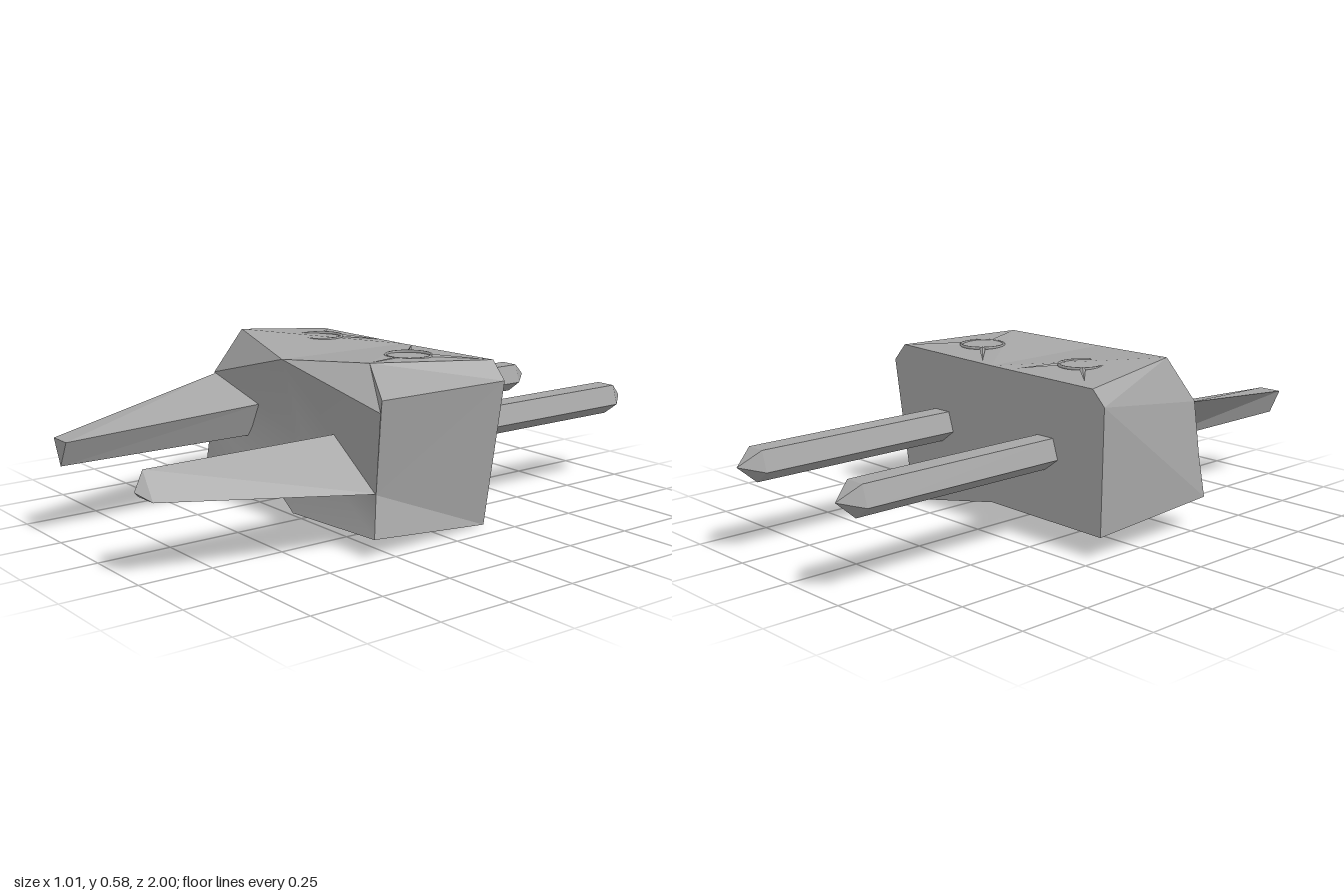
import * as THREE from 'three';
import { mergeVertices } from 'three/addons/utils/BufferGeometryUtils.js';

const grey = new THREE.MeshStandardMaterial({ color: 0xa6a6a6 });
grey.name = 'grey';

// Polygons (fans of points) turned outward from a centre point
function facets(polygons, centre) {
  const pos = [], c = new THREE.Vector3(...centre);
  for (const poly of polygons) {
    for (let i = 1; i < poly.length - 1; i++) {
      const t = [poly[0], poly[i], poly[i + 1]].map((p) => new THREE.Vector3(...p));
      const n = t[1].clone().sub(t[0]).cross(t[2].clone().sub(t[0]));
      if (n.dot(t[0].clone().add(t[1]).add(t[2]).divideScalar(3).sub(c)) < 0) t.reverse();
      t.forEach((p) => pos.push(p.x, p.y, p.z));
    }
  }
  const g = new THREE.BufferGeometry();
  g.setAttribute('position', new THREE.Float32BufferAttribute(pos, 3));
  g.computeVertexNormals();
  return g;
}

function add(parent, name, geometry) {
  const m = new THREE.Mesh(geometry, grey);
  m.name = name;
  parent.add(m);
  return m;
}

// Side walls between two outlines of equal length
const walls = (a, b) => a.map((p, i) => {
  const j = (i + 1) % a.length;
  return [p, a[j], b[j], b[i]];
});

export function createModel() {
  const model = new THREE.Group();
  model.name = 'plugBlock';
  const zb = -0.185;
  const centre = [0, 0.3, 0.05];

  // Back corners of the block
  const bLeft = [0.505, 0.495, zb], bTopL = [0.45, 0.555, zb], bTop = [0, 0.545, zb];
  const bTopR = [-0.46, 0.54, zb], bRight = [-0.51, 0.49, zb], bLowR = [-0.5, 0.075, zb];
  const bLow = [0, 0.08, zb], bLowL = [0.42, 0, zb];
  // Upper ridge corners
  const peakR = [-0.42, 0.58, 0.2], peakL = [0.33, 0.572, 0.22], shoulder = [0.505, 0.495, 0.31];
  // Front rim as columns: top, middle, bottom
  const cols = [
    [[-0.47, 0.43, 0.285], [-0.493, 0.25, 0.288], [-0.51, 0.11, 0.3]],
    [[0, 0.547, 0.32], [0, 0.3, 0.275], [0, 0.082, 0.32]],
    [[0, 0.547, 0.32], [0.06, 0.29, 0.275], [0.06, 0.047, 0.325]],
    [[0.505, 0.457, 0.315], [0.45, 0.19, 0.288], [0.49, 0.065, 0.325]],
  ];
  const [cR, cM, cN, cL] = cols;

  add(model, 'block', facets([
    [bTop, bTopL, bLeft, bLowL, bLow, bLowR, bRight, bTopR],
    [peakR, cM[0], bTop], [peakR, bTop, bTopR],
    [peakL, cM[0], bTop], [peakL, bTop, bTopL],
    [peakR, cR[0], cM[0]], [peakL, cM[0], cL[0]],
    [peakL, cL[0], shoulder], [peakL, shoulder, bLeft, bTopL],
    [peakR, bTopR, bRight], [peakR, bRight, cR[0]],
    [bRight, cR[0], cR[1], cR[2]], [bRight, cR[2], bLowR],
    [cL[1], cL[0], shoulder, bLeft], [cL[1], bLeft, bLowL, cL[2]],
    [bLowR, cR[2], cM[2], bLow], [bLow, cM[2], cN[2]],
    [bLow, cN[2], bLowL], [cN[2], cL[2], bLowL],
  ], centre));

  // Softly hollowed front, smooth shaded
  const bands = [];
  for (let i = 0; i < 3; i++) {
    for (let r = 0; r < 2; r++) {
      const a = cols[i], b = cols[i + 1];
      bands.push(i === 1 && r === 0 ? [a[0], a[1], b[1]] : [a[r], a[r + 1], b[r + 1], b[r]]);
    }
  }
  let front = facets(bands, centre);
  front.deleteAttribute('normal');
  front = mergeVertices(front);
  front.computeVertexNormals();
  add(model, 'frontFace', front);

  // Tapered front prongs, three sided
  const baseR = [[-0.47, 0.43, 0.26], [-0.2, 0.36, 0.26], [-0.255, 0.2425, 0.26]];
  const tipR = [[-0.295, 0.33, 0.985], [-0.21, 0.33, 0.985], [-0.255, 0.245, 0.985]];
  add(model, 'frontProngRight', facets([...walls(baseR, tipR), tipR, baseR], [-0.28, 0.32, 0.6]));

  const baseL = [[0.45, 0.19, 0.27], [0.255, 0.345, 0.27], [0.195, 0.24, 0.27]];
  const tipL = [[0.3, 0.252, 0.97], [0.225, 0.333, 0.96], [0.197, 0.245, 0.96]];
  const apex = [0.245, 0.275, 1];
  const cap = tipL.map((p, i) => [p, tipL[(i + 1) % 3], apex]);
  add(model, 'frontProngLeft', facets([...walls(baseL, tipL), ...cap, baseL], [0.26, 0.27, 0.6]));

  // Five-sided rear rods with pointed ends
  const ring = (x, z) => Array.from({ length: 5 }, (_, i) => {
    const a = -Math.PI / 2 + (i * Math.PI * 2) / 5;
    return [x + 0.06 * Math.cos(a), 0.305 + 0.06 * Math.sin(a), z];
  });
  for (const s of [-1, 1]) {
    const x = s * 0.253;
    const a = ring(x, -0.17), b = ring(x, -0.93);
    const point = [x, 0.305, -1];
    const end = b.map((p, i) => [p, b[(i + 1) % 5], point]);
    add(model, s > 0 ? 'rearRodLeft' : 'rearRodRight', facets([...walls(a, b), ...end, a], [x, 0.305, -0.6]));
  }

  // Shallow circles on the top with thin creases running out to the corners
  const marks = [
    { at: [-0.235, 0.559, -0.005], to: [[-0.39, 0.549, -0.15], [-0.1, 0.548, -0.17], [-0.41, 0.579, 0.19]] },
    { at: [0.245, 0.56, -0.005], to: [[0.06, 0.548, -0.17], [0.43, 0.556, -0.17], [0.32, 0.572, 0.2]] },
  ];
  for (const { at, to } of marks) {
    const circle = add(model, 'topCircle', new THREE.TorusGeometry(0.074, 0.005, 6, 32));
    circle.rotation.x = Math.PI / 2;
    circle.position.set(...at);
    for (const e of to) {
      const dx = e[0] - at[0], dz = e[2] - at[2], d = Math.hypot(dx, dz);
      const ux = dx / d, uz = dz / d, y = at[1] + 0.003;
      const m = [at[0] + ux * 0.075, y, at[2] + uz * 0.075];
      const p = [m[0] - uz * 0.01, y - 0.004, m[2] + ux * 0.01];
      const q = [m[0] + uz * 0.01, y - 0.004, m[2] - ux * 0.01];
      const top = [m[0], y + 0.003, m[2]];
      add(model, 'topCrease', facets([[p, top, e], [q, top, e]], [at[0], 0.3, at[2]]));
    }
  }
  return model;
}
